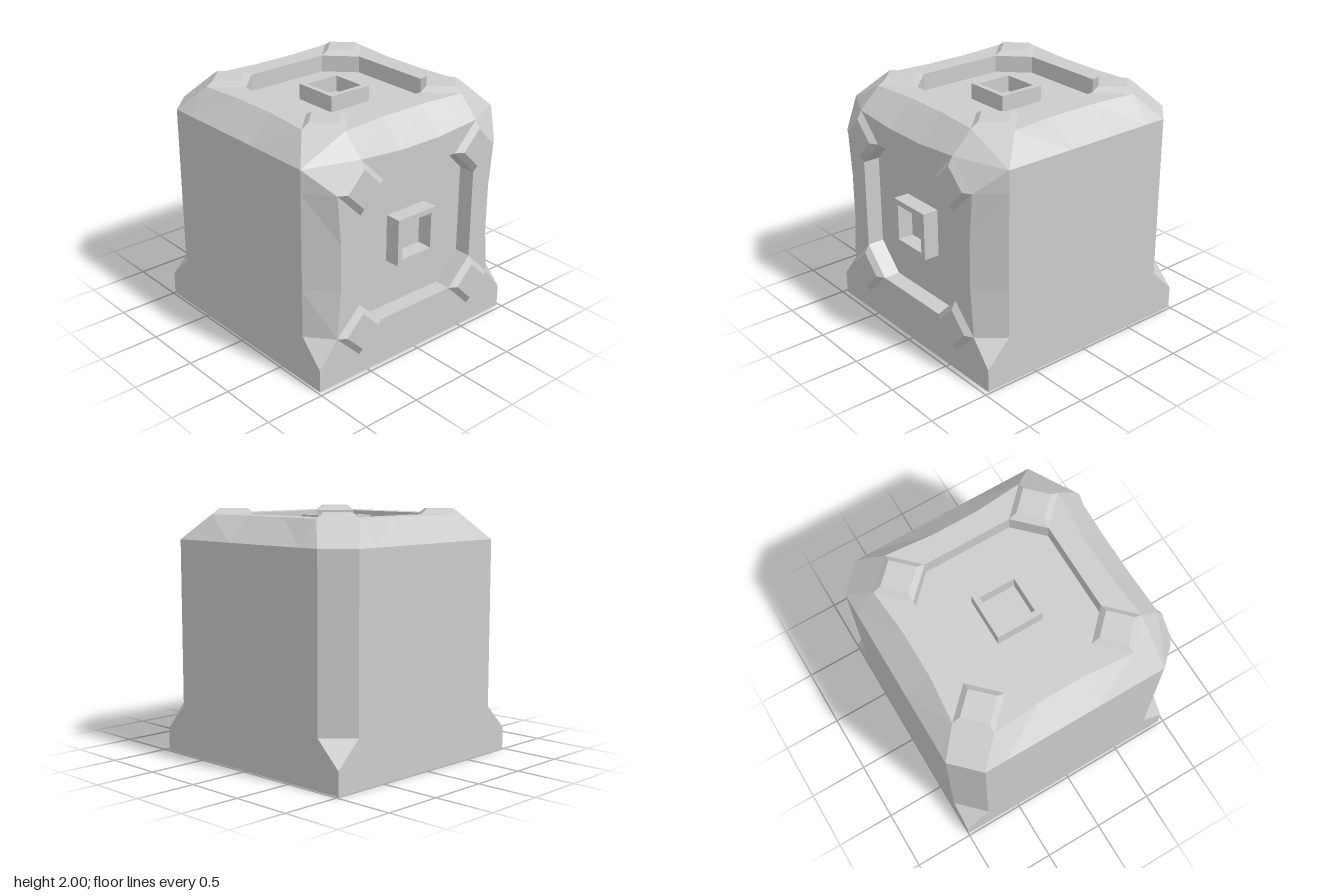
import * as THREE from 'three';

const material = new THREE.MeshStandardMaterial({ color: 0xcccccc, flatShading: true });
const CY = 0.985, CZ = -0.02;   // centres of the front and top panels
const DEPTH = 0.14;             // recess depth
const FACE = 0.96;              // level of the front (z) and top (y) panels
const OUT = 0.98, BEND = 0.76, BACKBEND = -0.79, TOPBEND = 1.76, LOW = 0.395, FOOT = 0.19;

// Quarter of the wavy panel rim, repeated by rotation
const quarter = [[0.775, -0.195], [0.775, 0.195], [0.81, 0.59], [0.59, 0.81]];
const rotate = ([x, y], n) => (n === 0 ? [x, y] : rotate([-y, x], n - 1));
const ring = (points) => [0, 1, 2, 3].flatMap((n) => points.map((p) => rotate(p, n)));
const toVectors = (points) => points.map(([x, y]) => new THREE.Vector2(x, y));

function addMesh(parent, geometry, name) {
  const mesh = new THREE.Mesh(geometry, material);
  mesh.name = name;
  parent.add(mesh);
  return mesh;
}

// Frame with an opening, extruded along +z
function frame(outer, inner, depth) {
  const shape = new THREE.Shape(toVectors(outer));
  shape.holes.push(new THREE.Path(toVectors(inner)));
  return new THREE.ExtrudeGeometry(shape, { depth, bevelEnabled: false });
}

// Recessed panel: floor at z = 0, rim at z = DEPTH
function createPanel(name) {
  const panel = new THREE.Group();
  panel.name = name;
  addMesh(panel, new THREE.PlaneGeometry(1.3, 1.3), 'recessFloor');
  addMesh(panel, frame(ring(quarter), ring([[0.59, -0.37], [0.59, 0.37]]), DEPTH), 'panelRim');
  addMesh(panel, frame(ring([[0.195, 0.195]]), ring([[0.15, 0.15]]), 0.13), 'centreSocket');
  for (const sx of [-1, 1]) for (const sy of [-1, 1]) {
    const stud = addMesh(panel, new THREE.CylinderGeometry(0.155, 0.22, 0.04, 4), 'cornerStud');
    stud.rotation.x = Math.PI / 2;
    stud.position.set(sx * 0.59, sy * 0.59, DEPTH + 0.02);
  }
  return panel;
}

// Chamfered shell: convex faces turned outward, mirrored in x
function createShell() {
  const positions = [];
  const centre = new THREE.Vector3(0, CY, CZ);
  const face = (...corners) => {
    const v = corners.map((c) => new THREE.Vector3(...c));
    for (let i = 1; i < v.length - 1; i++) {
      const t = new THREE.Triangle(v[0], v[i], v[i + 1]);
      const out = t.getMidpoint(new THREE.Vector3()).sub(centre);
      const outward = t.getNormal(new THREE.Vector3()).dot(out) > 0;
      for (const p of outward ? [t.a, t.b, t.c] : [t.a, t.c, t.b]) positions.push(p.x, p.y, p.z);
    }
  };
  const both = (...corners) => {
    face(...corners);
    face(...corners.map(([x, y, z]) => [-x, y, z]));
  };
  const strip = (add, a, b) => {
    for (let i = 0; i < a.length - 1; i++) add(a[i], a[i + 1], b[i + 1], b[i]);
  };
  const front = (x, v) => [x, CY + v, FACE];
  const top = (x, v) => [x, 1.96, CZ - v];

  // Shared corners
  const footFront = [OUT, FOOT, FACE], footBack = [OUT, FOOT, -1];
  const lowFront = [OUT, LOW, BEND], highFront = [OUT, TOPBEND, BEND];
  const lowSide = [OUT, LOW, BACKBEND], highSide = [OUT, TOPBEND, BACKBEND];
  const lowBack = [0.77, LOW, -1], highBack = [0.77, TOPBEND, -1];

  // Base and apron below the front panel
  face([-OUT, 0, FACE], [OUT, 0, FACE], [OUT, 0, -1], [-OUT, 0, -1]);
  both([OUT, 0, FACE], footFront, front(0.81, -0.59), front(0.59, -0.81));
  both([OUT, 0, FACE], front(0.59, -0.81), [0.59, 0, FACE]);
  both([0.59, 0, FACE], front(0.59, -0.81), front(0.195, -0.775), [0.195, 0, FACE]);
  face([-0.195, 0, FACE], [0.195, 0, FACE], front(0.195, -0.775), front(-0.195, -0.775));

  // Side walls and back wall
  both([OUT, 0, FACE], [OUT, 0, -1], footBack, footFront);
  both(footFront, footBack, lowSide, lowFront);
  both(lowFront, lowSide, highSide, highFront);
  face([-OUT, 0, -1], [OUT, 0, -1], footBack, [-OUT, FOOT, -1]);
  face([-OUT, FOOT, -1], footBack, lowBack, [-0.77, LOW, -1]);
  face([-0.77, LOW, -1], lowBack, highBack, [-0.77, TOPBEND, -1]);

  // Vertical chamfers with pointed lower ends
  const edge = [[0.81, -0.59], [0.775, -0.195], [0.775, 0.195], [0.81, 0.59]];
  strip(both, edge.map(([x, v]) => front(x, v)), edge.map(([, v]) => [OUT, CY + v, BEND]));
  both(footFront, lowFront, front(0.81, -0.59));
  both(front(0.81, 0.59), [OUT, CY + 0.59, BEND], highFront);
  both(lowSide, highSide, highBack, lowBack);
  both(footBack, lowSide, lowBack);

  // Top chamfers
  strip(both, edge.map(([x, v]) => top(x, v)), edge.map(([, v]) => [OUT, TOPBEND, CZ - v]));
  const cross = edge.map(([x, v]) => [v, x]);
  strip(face, cross.map(([x, v]) => front(x, v)), cross.map(([x, v]) => top(x, -v)));
  strip(face, cross.map(([x, v]) => top(x, v)), cross.map(([x]) => [x, TOPBEND, -1]));

  // Upper corners
  both(front(0.59, 0.81), front(0.81, 0.59), highFront);
  both(front(0.59, 0.81), highFront, top(0.59, -0.81));
  both(top(0.59, -0.81), highFront, top(0.81, -0.59));
  both(top(0.81, -0.59), highFront, [OUT, TOPBEND, CZ + 0.59]);
  both(top(0.81, 0.59), [OUT, TOPBEND, CZ - 0.59], highSide);
  both(top(0.81, 0.59), highSide, highBack, top(0.59, 0.81));
  both(top(0.59, 0.81), highBack, [0.59, TOPBEND, -1]);

  const geometry = new THREE.BufferGeometry();
  geometry.setAttribute('position', new THREE.Float32BufferAttribute(positions, 3));
  geometry.computeVertexNormals();
  return geometry;
}

export function createModel() {
  const model = new THREE.Group();
  model.name = 'panelledBlock';
  addMesh(model, createShell(), 'chamferedShell');

  const frontPanel = createPanel('frontPanel');
  frontPanel.position.set(0, CY, FACE - DEPTH);
  model.add(frontPanel);

  const topPanel = createPanel('topPanel');
  topPanel.rotation.x = -Math.PI / 2;
  topPanel.position.set(0, 1.96 - DEPTH, CZ);
  model.add(topPanel);
  return model;
}
